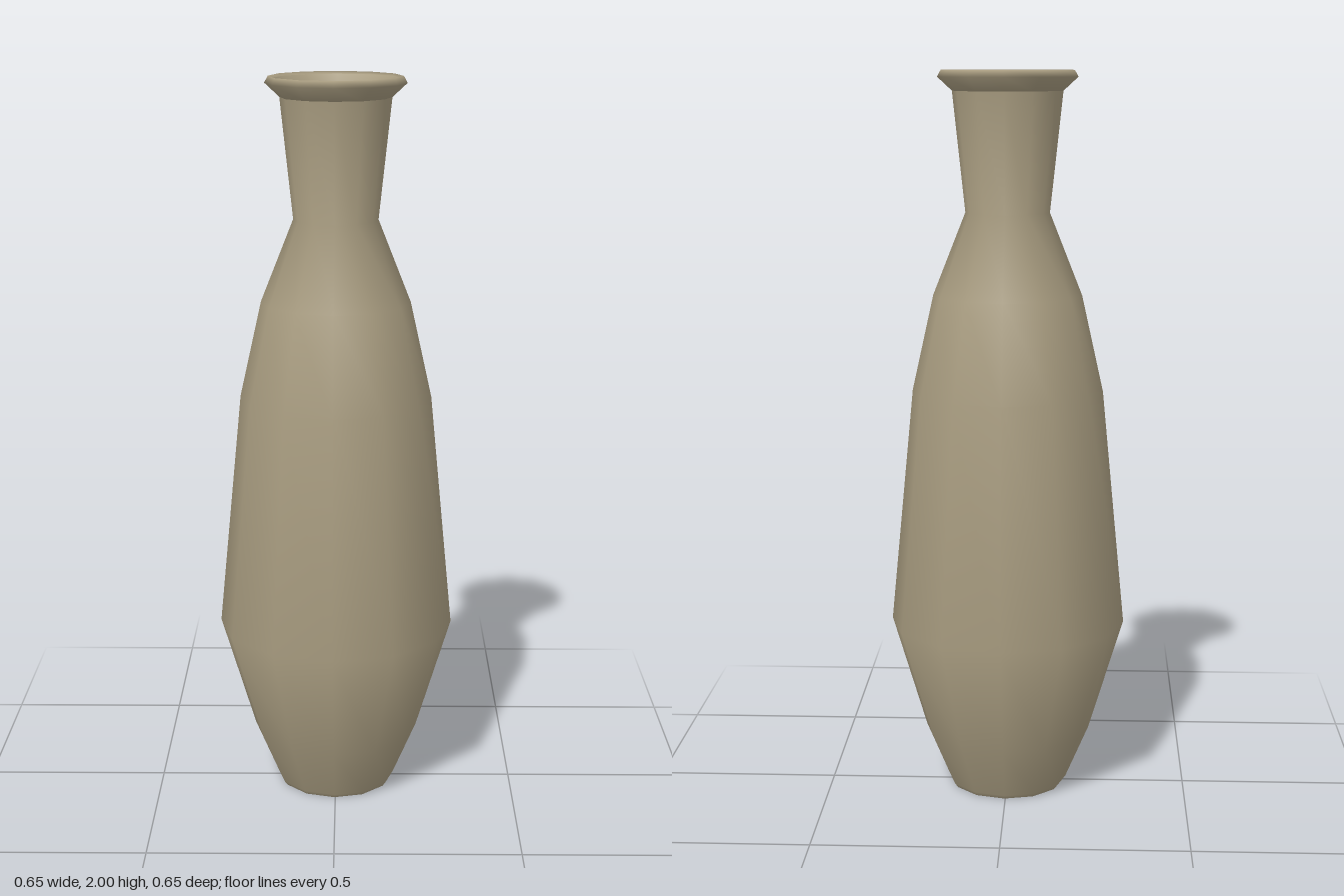
import * as THREE from 'three';

const SIDES = 12;
const TWIST = -Math.PI / 180; // corners sit about one degree off the axes

export function createModel() {
  const vase = new THREE.Group();
  vase.name = 'vase';
  const material = new THREE.MeshStandardMaterial({ color: 0xa89c80 });

  // Revolves a [radius, height] profile into a twelve-sided, smooth-shaded part
  const turn = (name, profile) => {
    const points = profile.map(([r, y]) => new THREE.Vector2(r, y));
    const mesh = new THREE.Mesh(new THREE.LatheGeometry(points, SIDES, TWIST), material);
    mesh.name = name;
    vase.add(mesh);
  };

  // Recessed underside and foot ring
  turn('underside', [[0, 0.03], [0.12, 0.03], [0.132, 0], [0.157, 0]]);

  // Outer wall: foot, belly, shoulder and neck
  turn('outerWall', [
    [0.157, 0], [0.166, 0.012], [0.23, 0.16], [0.326, 0.475],
    [0.263, 1.13], [0.204, 1.395], [0.115, 1.62], [0.15, 1.945],
  ]);

  // Flared lip
  turn('lip', [[0.15, 1.945], [0.19, 1.982], [0.18, 2], [0.172, 1.993]]);

  // Inner wall, running down from the lip through the throat to the floor
  turn('innerWall', [
    [0.172, 1.993], [0.125, 1.93], [0.092, 1.62], [0.178, 1.39],
    [0.238, 1.13], [0.298, 0.475], [0.2, 0.17], [0.084, 0.08],
  ]);

  // Flat inner floor
  turn('innerFloor', [[0.084, 0.08], [0, 0.08]]);

  return vase;
}
